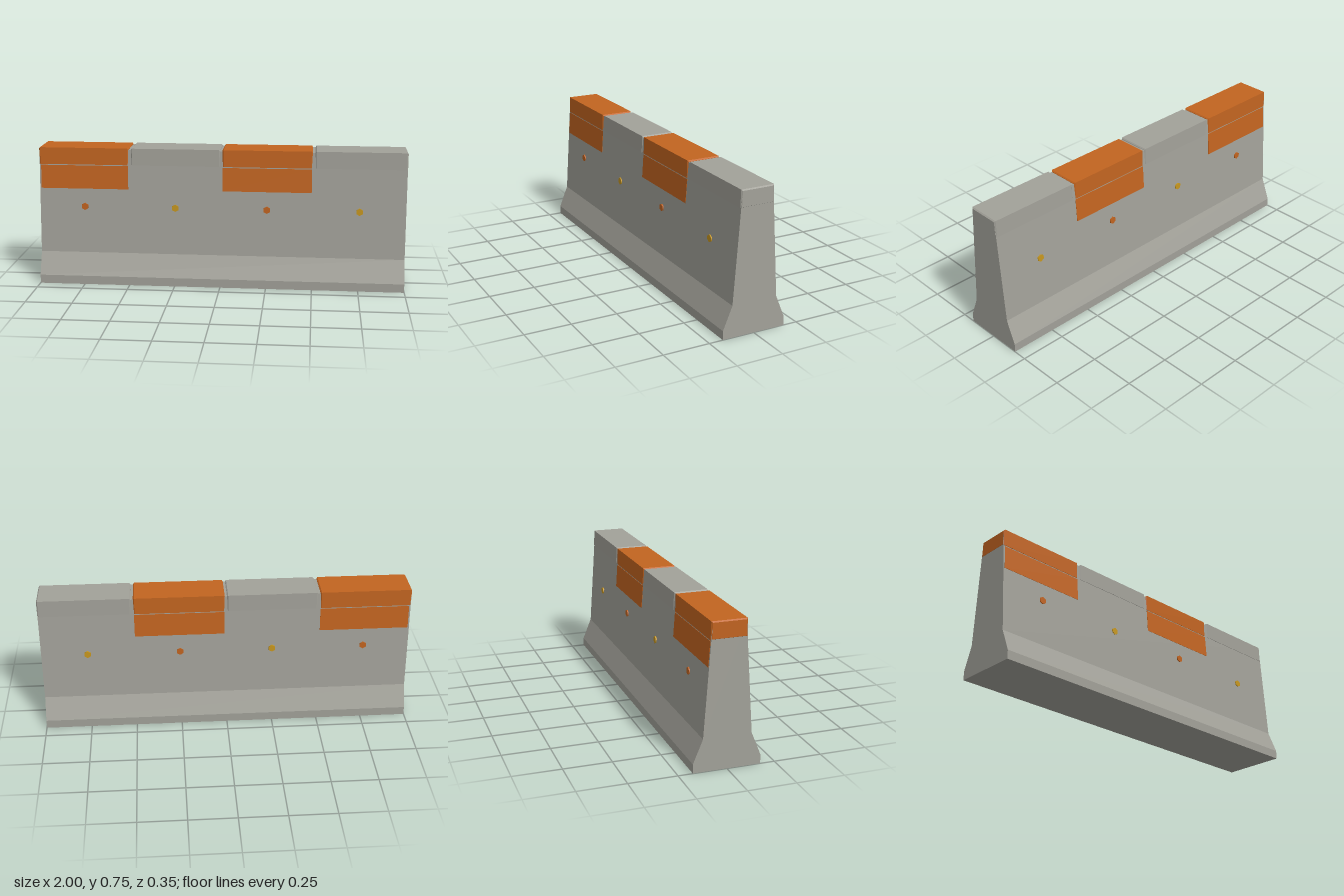
import * as THREE from 'three';

const concrete = new THREE.MeshStandardMaterial({ color: 0xa2a199 });
concrete.name = 'concrete grey';
const orange = new THREE.MeshStandardMaterial({ color: 0xc26420 });
orange.name = 'safety orange';
const amber = new THREE.MeshStandardMaterial({ color: 0xc8981f });
amber.name = 'reflector amber';

// Symmetric cross-section from right-hand points [z, y] listed bottom to top
function section(points) {
  const mirrored = [...points].reverse().map(([z, y]) => [-z, y]);
  return new THREE.Shape([...points, ...mirrored].map(([z, y]) => new THREE.Vector2(z, y)));
}

// Extrude a cross-section along x between x0 and x1, with optional chamfered edges
function extrudeAlongX(points, x0, x1, bevel = 0) {
  const geometry = new THREE.ExtrudeGeometry(section(points), {
    depth: x1 - x0 - 2 * bevel,
    bevelEnabled: bevel > 0,
    bevelThickness: bevel,
    bevelSize: bevel,
    bevelOffset: -bevel,
    bevelSegments: 1,
  });
  geometry.rotateY(Math.PI / 2);
  geometry.translate(x0 + bevel, 0, 0);
  return geometry;
}

function addMesh(parent, name, geometry, material) {
  const mesh = new THREE.Mesh(geometry, material);
  mesh.name = name;
  parent.add(mesh);
  return mesh;
}

// Half thickness of the upper wall at height y
const LOW = [0.125, 0.17];
const HIGH = [0.085, 0.742];
const wallZ = (y) => LOW[0] + ((HIGH[0] - LOW[0]) * (y - LOW[1])) / (HIGH[1] - LOW[1]);
const slope = Math.atan2(LOW[0] - HIGH[0], HIGH[1] - LOW[1]);

export function createModel() {
  const group = new THREE.Group();
  group.name = 'roadBarrier';

  // Concrete wall with a flared foot
  addMesh(group, 'barrierBody',
    extrudeAlongX([[0.175, 0], [0.175, 0.047], LOW, HIGH], -0.999, 0.999), concrete);

  // Four chamfered caps, alternating orange and grey
  const capSection = [[0.093, 0.658], [0.0905, 0.75]];
  const capSpans = [[-1, -0.507], [-0.493, -0.006], [0.006, 0.493], [0.507, 1]];
  capSpans.forEach(([x0, x1], i) => {
    addMesh(group, 'topCap', extrudeAlongX(capSection, x0, x1, 0.006), i % 2 ? concrete : orange);
  });

  for (const side of [1, -1]) {
    // Painted panels lying on the sloped wall under the orange caps
    for (const x of [-0.75, 0.25]) {
      const y = 0.589;
      const panel = addMesh(group, 'paintedPanel', new THREE.BoxGeometry(0.482, 0.128, 0.003), orange);
      panel.position.set(x, y, side * wallZ(y));
      panel.rotation.x = -side * slope;
    }
    // Hexagonal reflectors
    [-0.75, -0.25, 0.25, 0.75].forEach((x, i) => {
      const hexagon = new THREE.CylinderGeometry(0.02, 0.02, 0.012, 6);
      hexagon.rotateX(Math.PI / 2);
      const reflector = addMesh(group, 'reflector', hexagon, i % 2 ? amber : orange);
      reflector.position.set(x, 0.427, side * 0.107);
    });
  }

  return group;
}
